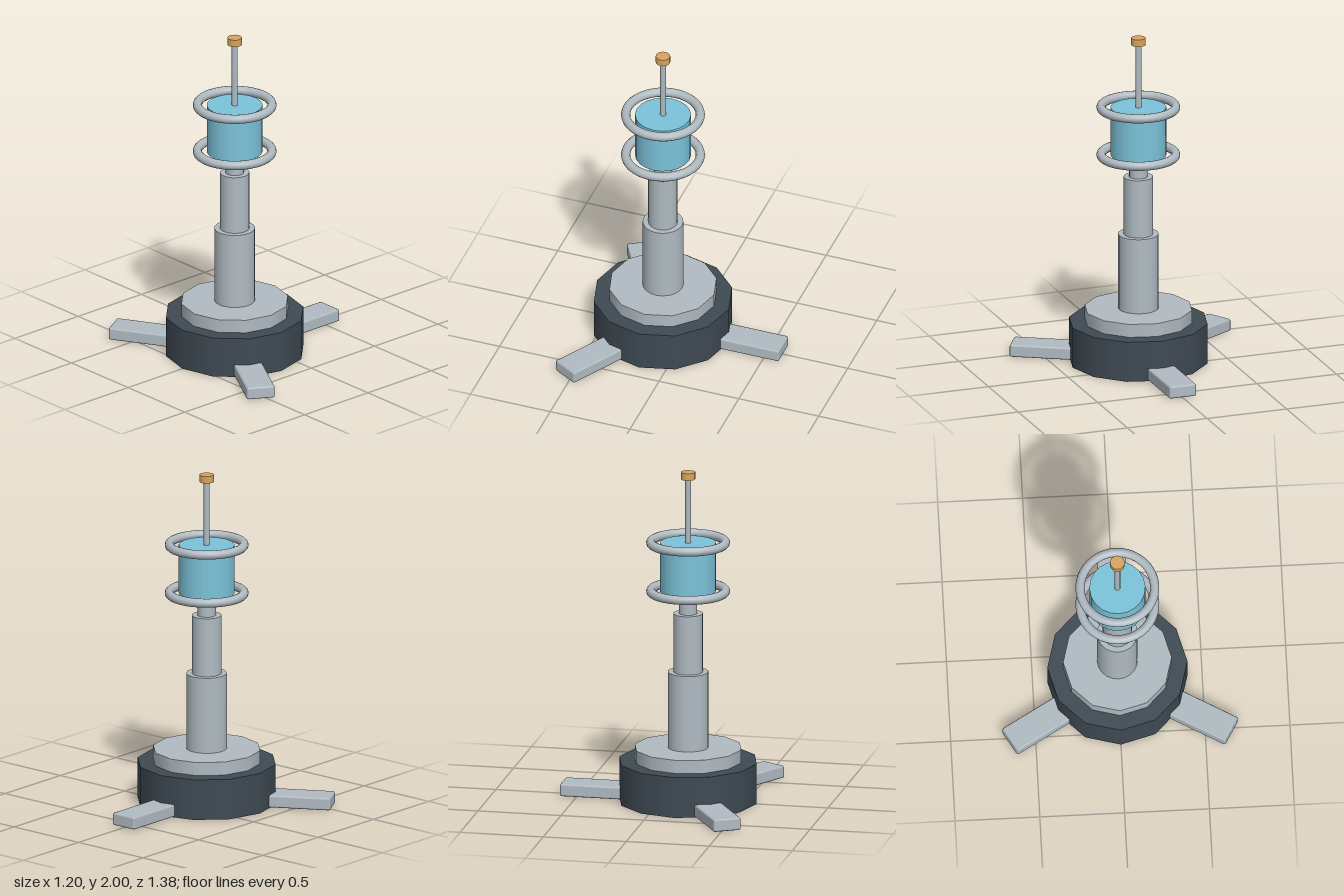
import * as THREE from 'three';
import { RoundedBoxGeometry } from 'three/addons/geometries/RoundedBoxGeometry.js';

function material(name, color) {
  const m = new THREE.MeshStandardMaterial({ color });
  m.name = name;
  return m;
}

export function createModel() {
  const steel = material('light steel', 0xb0bbc2);
  const dark = material('dark slate', 0x3f4a53);
  const blue = material('pale blue', 0x7cc3da);
  const brass = material('brass', 0xd9a55e);

  const model = new THREE.Group();
  model.name = 'beaconTower';
  // the mast stands off centre, so the three feet fill the footprint evenly
  const tower = new THREE.Group();
  tower.name = 'tower';
  tower.position.x = -0.158;
  model.add(tower);

  function add(name, geometry, mat, y = 0) {
    const mesh = new THREE.Mesh(geometry, mat);
    mesh.name = name;
    mesh.position.y = y;
    tower.add(mesh);
    return mesh;
  }

  // stacked round parts: name, radius, bottom, top, sides, material
  const stack = [
    ['base', 0.413, 0, 0.245, 12, dark],
    ['basePlate', 0.32, 0.245, 0.325, 12, steel],
    ['lowerColumn', 0.12, 0.325, 0.785, 20, steel],
    ['upperColumn', 0.087, 0.785, 1.14, 20, steel],
    ['neck', 0.054, 1.14, 1.275, 20, steel],
    ['core', 0.165, 1.275, 1.57, 20, blue],
    ['antenna', 0.018, 1.57, 1.957, 12, steel],
    ['antennaCap', 0.043, 1.957, 2.0, 16, brass],
  ];
  for (const [name, r, y0, y1, sides, mat] of stack) {
    add(name, new THREE.CylinderGeometry(r, r, y1 - y0, sides), mat, (y0 + y1) / 2);
  }

  // rings around both ends of the core
  const ringGeometry = new THREE.TorusGeometry(0.22, 0.027, 12, 40).rotateX(Math.PI / 2);
  add('lowerRing', ringGeometry, steel, 1.275);
  add('upperRing', ringGeometry, steel, 1.57);

  // three radial feet with bevelled edges
  const inner = 0.09, outer = 0.756;
  const footGeometry = new RoundedBoxGeometry(outer - inner, 0.076, 0.17, 1, 0.012);
  footGeometry.translate((inner + outer) / 2, 0, 0);
  for (let i = 0; i < 3; i++) {
    add('foot' + (i + 1), footGeometry, steel, 0.04).rotation.y = (i * Math.PI * 2) / 3;
  }
  return model;
}
